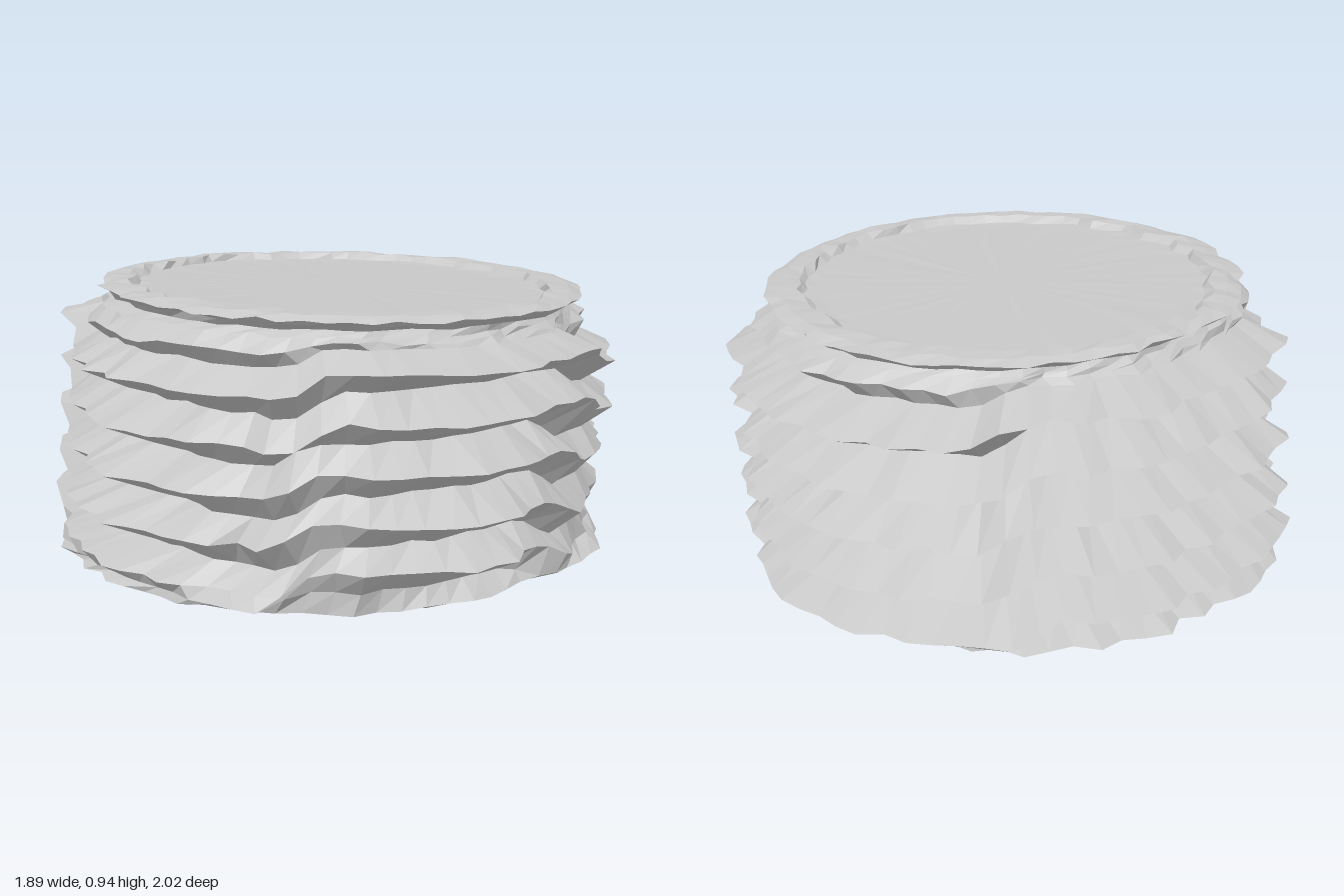
import * as THREE from 'three';

const SEG = 72;

// small seeded noise
let seed = 11;
function rnd() {
  seed = (seed * 16807) % 2147483647;
  return (seed / 2147483647) * 2 - 1;
}

// 1 in the two side sectors, where the folds sit half a step lower, else 0
function sector(a, y, wobble) {
  const deg = (a * 180) / Math.PI;
  const edge = (e, width) => THREE.MathUtils.smoothstep(deg - e - wobble, -width, width);
  const low = 0.8 - y;
  const right = Math.max(1 - edge(66 + low * 22, 7), edge(303 - low * 8, 5));
  const left = Math.min(edge(139, 5), 1 - edge(221 + low * 6, 5));
  return Math.max(right, left);
}

// irregularity shared by many rings, so the sides have vertical creases
const column = Array.from({ length: SEG }, rnd);

// plan outline of the fold crests, one radius per 15 degrees from +x to +z
const OUTLINE = [0.96, 0.91, 0.96, 0.93, 0.92, 0.92, 0.97, 1.01, 1.0, 0.96, 0.95, 0.96,
  0.97, 0.96, 0.93, 0.98, 0.99, 0.99, 1.0, 0.98, 0.96, 0.96, 0.97, 0.97];
function crestPlan(a) {
  const t = (a / (Math.PI * 2)) * OUTLINE.length;
  const i = Math.floor(t);
  return THREE.MathUtils.lerp(OUTLINE[i], OUTLINE[(i + 1) % OUTLINE.length], t - i);
}
// the folds are shallower on the diagonals
const valleyPlan = (a) => 1 + 0.09 * Math.sin(2 * a) ** 2;
const roundPlan = () => 1;

// one ring: radii, height, centre, noise, drop and widening of the side sectors
function ring({ rx, rz = rx, y, cx = 0, cz = 0, nr = 0.01, ny = 0.005, drop = 0, sideR = 0, tilt = 0.02, plan = roundPlan }) {
  const wobble = rnd() * 3;
  return Array.from({ length: SEG }, (_, i) => {
    const a = (i / SEG) * Math.PI * 2;
    const s = sector(a, y, wobble);
    const k = plan(a) * (1 + nr * (0.6 * column[i] + 0.5 * rnd()) + sideR * s);
    const x = cx + Math.cos(a) * rx * k;
    const z = cz + Math.sin(a) * rz * k;
    return [x, Math.max(0.005, y - drop * s - tilt * x + ny * rnd()), z];
  });
}

// skin over a list of rings, ordered so that faces look outward
function loft(rings) {
  const index = [];
  for (let j = 0; j < rings.length - 1; j++) {
    for (let i = 0; i < SEG; i++) {
      const n = (i + 1) % SEG;
      const a = j * SEG + i, b = j * SEG + n, c = a + SEG, d = b + SEG;
      index.push(a, c, b, b, c, d);
    }
  }
  const g = new THREE.BufferGeometry();
  g.setAttribute('position', new THREE.Float32BufferAttribute(rings.flat(2), 3));
  g.setIndex(index);
  const flat = g.toNonIndexed();
  flat.computeVertexNormals();
  return flat;
}

export function createModel() {
  const group = new THREE.Group();
  const stone = new THREE.MeshStandardMaterial({ color: 0xc8c8c8, flatShading: true });
  stone.name = 'paleGrey';
  const add = (name, rings) => {
    const mesh = new THREE.Mesh(loft(rings), stone);
    mesh.name = name;
    group.add(mesh);
  };

  // uneven underside
  const foot = ring({ rx: 0.88, rz: 0.89, y: 0.052, cx: -0.03, cz: -0.045, nr: 0.035, ny: 0.005, tilt: 0 });
  add('base', [
    ring({ rx: 0.001, y: 0.04, nr: 0, ny: 0, tilt: 0 }),
    ring({ rx: 0.45, y: 0.04, cz: -0.02, ny: 0.004, tilt: 0 }),
    ring({ rx: 0.7, y: 0.035, cz: -0.02, nr: 0.02, ny: 0.006, tilt: 0 }),
    ring({ rx: 0.79, y: 0.027, cz: -0.02, nr: 0.03, ny: 0.012, tilt: 0 }),
    foot,
  ]);

  // zigzag folds
  const body = [foot];
  const peakY = [0.18, 0.325, 0.48, 0.635, 0.79];
  peakY.forEach((y, k) => {
    body.push(ring({
      rx: k ? 0.745 : 0.78, rz: k ? 0.74 : 0.77, y: y - 0.073, cx: -0.03, cz: k ? 0.05 : 0.01,
      nr: 0.03, drop: k ? 0.082 : 0.05, sideR: k ? 0 : 0.09, plan: valleyPlan,
    }));
    body.push(ring({ rx: 0.965, y, cz: -0.035 + k * 0.02, nr: 0.035, drop: 0.083, plan: crestPlan }));
  });
  // sloping shoulder with a low ridge at the sides
  const neck = ring({ rx: 0.75, rz: 0.735, y: 0.882, cx: -0.02, cz: 0.05, nr: 0.02, ny: 0.004, tilt: 0.025 });
  body.push(
    ring({ rx: 0.78, rz: 0.775, y: 0.836, cx: -0.03, cz: 0.05, nr: 0.03, drop: 0.06 }),
    ring({ rx: 0.83, rz: 0.755, y: 0.85, cx: -0.03, cz: 0.05, nr: 0.035, ny: 0.008, drop: 0.025, sideR: 0.02 }),
    ring({ rx: 0.79, rz: 0.745, y: 0.866, cx: -0.03, cz: 0.05, nr: 0.025, ny: 0.006, tilt: 0.025 }),
    neck,
  );
  add('pleatedBody', body);

  // thin ragged lip
  const top = { cx: -0.02, cz: 0.05, tilt: 0.025 };
  const inner = ring({ ...top, rx: 0.66, rz: 0.69, y: 0.908, cx: -0.03, nr: 0.03, ny: 0.002 });
  add('lip', [
    neck,
    ring({ ...top, rx: 0.77, rz: 0.78, y: 0.903, nr: 0.02, ny: 0.004 }),
    ring({ ...top, rx: 0.795, rz: 0.8, y: 0.914, nr: 0.022, ny: 0.005 }),
    ring({ ...top, rx: 0.745, rz: 0.765, y: 0.927, nr: 0.02, ny: 0.005 }),
    ring({ ...top, rx: 0.685, rz: 0.71, y: 0.929, cx: -0.03, nr: 0.03, ny: 0.005 }),
    inner,
  ]);

  // flat, slightly uneven top surface
  add('topSurface', [
    inner,
    ring({ ...top, rx: 0.61, rz: 0.64, y: 0.906, ny: 0.001 }),
    ring({ ...top, rx: 0.35, rz: 0.38, y: 0.905, ny: 0.001 }),
    ring({ ...top, rx: 0.001, y: 0.905, nr: 0, ny: 0 }),
  ]);

  return group;
}
